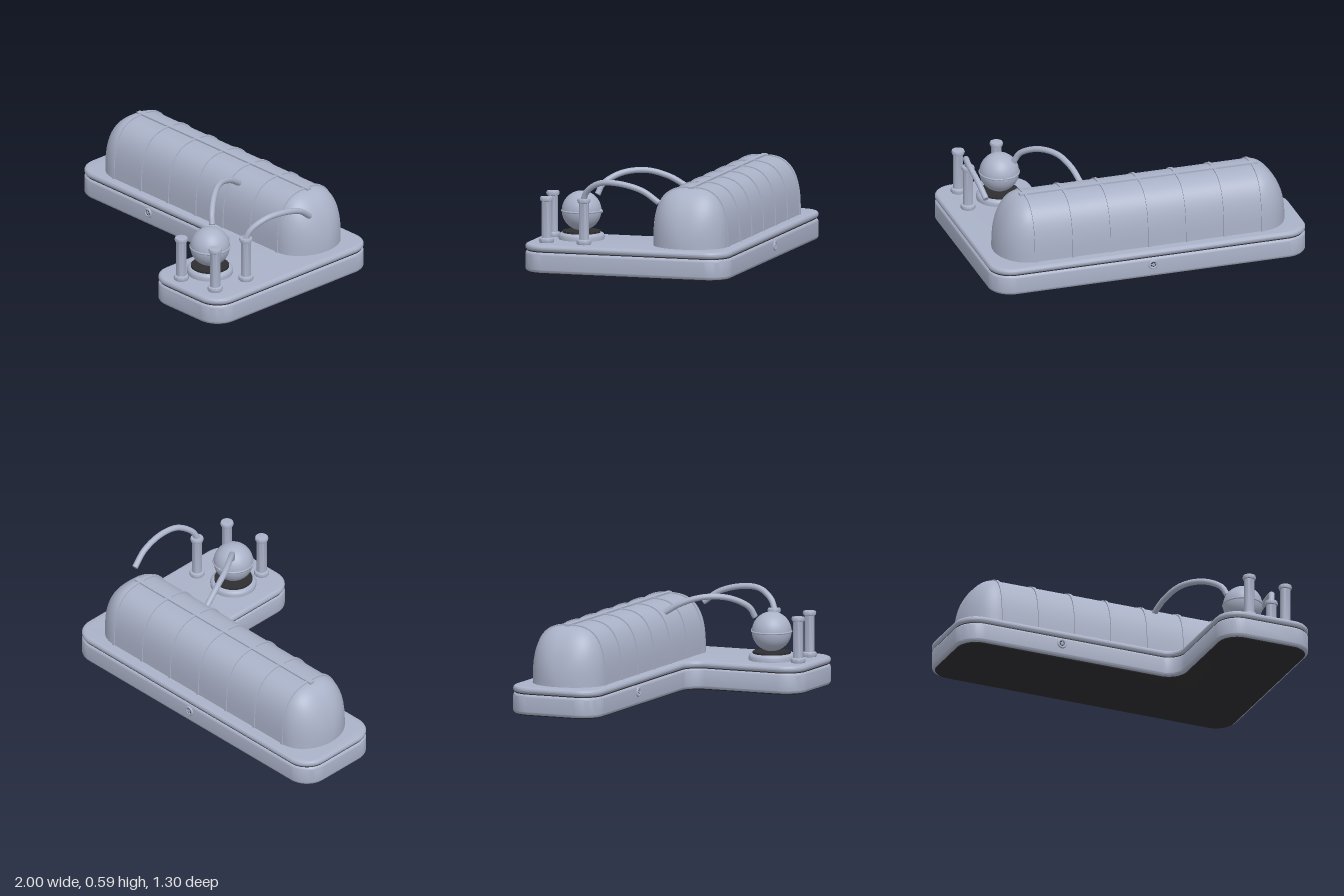
import * as THREE from 'three';
import { toCreasedNormals } from 'three/addons/utils/BufferGeometryUtils.js';

const shell = new THREE.MeshStandardMaterial({ color: 0xaab2c8 });
shell.name = 'blue grey shell';
const dark = new THREE.MeshStandardMaterial({ color: 0x2e2e31 });
dark.name = 'dark underside';

function add(parent, name, geometry, material, x = 0, y = 0, z = 0) {
  const mesh = new THREE.Mesh(geometry, material);
  mesh.name = name;
  mesh.position.set(x, y, z);
  parent.add(mesh);
  return mesh;
}

// L-shaped footprint with every corner rounded; shape y is -z
function footprint() {
  const pts = [[-1, 0.06], [0.405, 0.06], [0.405, -0.65], [1, -0.65], [1, 0.645], [-1, 0.645]]
    .map(([x, y]) => new THREE.Vector2(x, y));
  const radii = [0.14, 0.1, 0.14, 0.14, 0.14, 0.14];
  const shape = new THREE.Shape();
  pts.forEach((p, i) => {
    const toPrev = pts[(i + 5) % 6].clone().sub(p).normalize();
    const toNext = pts[(i + 1) % 6].clone().sub(p).normalize();
    const at = (dir, d) => p.clone().addScaledVector(dir, d);
    const r = radii[i], a = at(toPrev, r), b = at(toNext, r);
    const c = at(toPrev, r * 0.45), d = at(toNext, r * 0.45);
    if (i === 0) shape.moveTo(a.x, a.y); else shape.lineTo(a.x, a.y);
    shape.bezierCurveTo(c.x, c.y, d.x, d.y, b.x, b.y);
  });
  shape.closePath();
  return shape;
}

// Horizontal slab of the footprint between two heights
function slab(y0, y1, bevel, inset) {
  const g = new THREE.ExtrudeGeometry(footprint(), {
    depth: y1 - y0 - 2 * bevel, bevelEnabled: true, bevelThickness: bevel,
    bevelSize: bevel, bevelOffset: -bevel - inset, bevelSegments: 5, curveSegments: 12,
  });
  g.rotateX(-Math.PI / 2).translate(0, y0 + bevel, 0);
  return toCreasedNormals(g, 0.7);
}

// Point on the arched hood section: angle 0 is the front foot, PI the back foot
const FLOOR = 0.175, HOOD_Z = -0.345, HALF = 0.23, RISE = 0.35;
function arch(t, w = HALF, h = RISE) {
  const c = Math.cos(t), s = Math.max(0, Math.sin(t));
  return [w * Math.sign(c) * Math.abs(c) ** 0.7, h * s ** 0.7];
}

// Long arched hood with rounded ends
function hoodGeometry() {
  const g = new THREE.PlaneGeometry(1, 1, 60, 48);
  const p = g.attributes.position;
  for (let i = 0; i < p.count; i++) {
    const u = p.getX(i) * 2, side = Math.sign(u), a = Math.abs(u);
    const q = Math.max(0, (a - 0.4) / 0.6) * Math.PI / 2;
    const x = a < 0.4 ? u / 0.4 * 0.725 : side * (0.725 + 0.188 * Math.sin(q));
    const [z, y] = arch((p.getY(i) + 0.5) * Math.PI);
    const k = Math.max(0.0005, Math.cos(q));
    p.setXYZ(i, x, FLOOR + y * k, HOOD_Z + z * k);
  }
  g.computeVertexNormals();
  return g;
}

// Thin band following the hood section
function ribGeometry() {
  const pts = [];
  for (let i = 0; i <= 48; i++) {
    pts.push(new THREE.Vector2(...arch(i / 48 * Math.PI, HALF + 0.007, RISE + 0.007)));
  }
  const g = new THREE.ExtrudeGeometry(new THREE.Shape(pts), { depth: 0.018, bevelEnabled: false });
  g.translate(0, 0, -0.009).rotateY(Math.PI / 2);
  return toCreasedNormals(g, 0.7);
}

function lathe(points, segments = 32) {
  const g = new THREE.LatheGeometry(points.map(([x, y]) => new THREE.Vector2(x, y)), segments);
  return toCreasedNormals(g, 0.75);
}

// Curved pipe closed by flat end caps
function pipe(parent, name, points, radius) {
  const group = new THREE.Group();
  group.name = name;
  const curve = new THREE.CatmullRomCurve3(points.map((p) => new THREE.Vector3(...p)));
  add(group, 'pipe', new THREE.TubeGeometry(curve, 48, radius, 14), shell);
  for (const t of [0, 1]) {
    const end = curve.getPoint(t), dir = curve.getTangent(t).multiplyScalar(t ? 1 : -1);
    const cap = add(group, 'pipeEnd', new THREE.CircleGeometry(radius, 14), shell, end.x, end.y, end.z);
    cap.quaternion.setFromUnitVectors(new THREE.Vector3(0, 0, 1), dir);
  }
  parent.add(group);
}

// Round socket on a side wall, facing +z
function socket(name) {
  const group = new THREE.Group();
  group.name = name;
  add(group, 'socketRing', new THREE.TorusGeometry(0.023, 0.008, 10, 28), shell);
  add(group, 'socketRecess', new THREE.CircleGeometry(0.022, 24), dark, 0, 0, 0.003);
  const star = new THREE.Shape();
  for (let i = 0; i < 10; i++) {
    const r = i % 2 ? 0.007 : 0.016, a = Math.PI / 2 + i * Math.PI / 5;
    if (i) star.lineTo(r * Math.cos(a), r * Math.sin(a)); else star.moveTo(0, r);
  }
  add(group, 'socketPin', new THREE.ExtrudeGeometry(star, { depth: 0.004, bevelEnabled: false }), shell, 0, 0, 0.003);
  return group;
}

export function createModel() {
  const model = new THREE.Group();
  model.name = 'machine';

  // Base: dark sole, body, seam and rounded deck
  const base = new THREE.Group();
  base.name = 'base';
  model.add(base);
  add(base, 'sole', slab(0, 0.024, 0.008, 0.018), dark);
  add(base, 'baseBody', slab(0.006, 0.132, 0.02, 0), shell);
  add(base, 'seam', slab(0.11, 0.16, 0.004, 0.012), dark);
  add(base, 'deck', slab(0.135, FLOOR, 0.018, 0), shell);

  // Hood with cross ribs and a ridge bar
  const hood = new THREE.Group();
  hood.name = 'hood';
  model.add(hood);
  add(hood, 'hoodShell', hoodGeometry(), shell);
  const rib = ribGeometry();
  for (let i = -3; i <= 3; i++) add(hood, 'hoodRib', rib, shell, i * 0.239, FLOOR, HOOD_Z);
  add(hood, 'ridgeBar', new THREE.BoxGeometry(1.5, 0.02, 0.03), shell, 0, 0.525, HOOD_Z - 0.005);

  // Ball on a round pedestal
  const ball = new THREE.Group();
  ball.name = 'ballTank';
  ball.position.set(0.645, 0, 0.37);
  model.add(ball);
  add(ball, 'pedestal', lathe([[0.138, 0.17], [0.14, 0.195], [0.135, 0.207], [0.122, 0.215], [0, 0.215]], 40), shell);
  add(ball, 'pedestalPad', new THREE.CylinderGeometry(0.115, 0.115, 0.012, 40), dark, 0, 0.22, 0);
  add(ball, 'ball', new THREE.SphereGeometry(0.12, 40, 28), shell, 0, 0.347, 0);
  const band = add(ball, 'ballBand', new THREE.TorusGeometry(0.119, 0.006, 8, 48), shell, 0, 0.347, 0);
  band.rotation.x = Math.PI / 2;
  const knob = add(ball, 'ballKnob', new THREE.CylinderGeometry(0.012, 0.012, 0.02, 16), shell, 0, 0.347, -0.12);
  knob.rotation.x = Math.PI / 2;

  // Flanged posts
  const postShape = lathe([
    [0.038, 0.17], [0.045, 0.18], [0.046, 0.19], [0.042, 0.201], [0.031, 0.205],
    [0.031, 0.425], [0.037, 0.428], [0.041, 0.44], [0.037, 0.452], [0.03, 0.453], [0, 0.453],
  ]);
  for (const [x, z] of [[0.6, 0.565], [0.855, 0.525], [0.87, 0.285]]) {
    add(model, 'post', postShape, shell, x, 0, z);
  }

  // Pipes arching back towards the hood
  pipe(model, 'ballPipe', [[0.578, 0.44, 0.29], [0.55, 0.5, 0.265], [0.47, 0.56, 0.17],
    [0.385, 0.57, 0.04], [0.335, 0.53, -0.09], [0.31, 0.47, -0.19]], 0.018);
  pipe(model, 'postPipe', [[0.868, 0.44, 0.29], [0.885, 0.5, 0.26], [0.92, 0.557, 0.17],
    [0.936, 0.563, 0.05], [0.93, 0.525, -0.1], [0.913, 0.455, -0.2]], 0.018);

  // Wall sockets
  const front = socket('frontSocket');
  front.position.set(-0.355, 0.088, -0.06);
  const back = socket('backSocket');
  back.position.set(0, 0.088, -0.646);
  back.rotation.y = Math.PI;
  model.add(front, back);

  return model;
}
